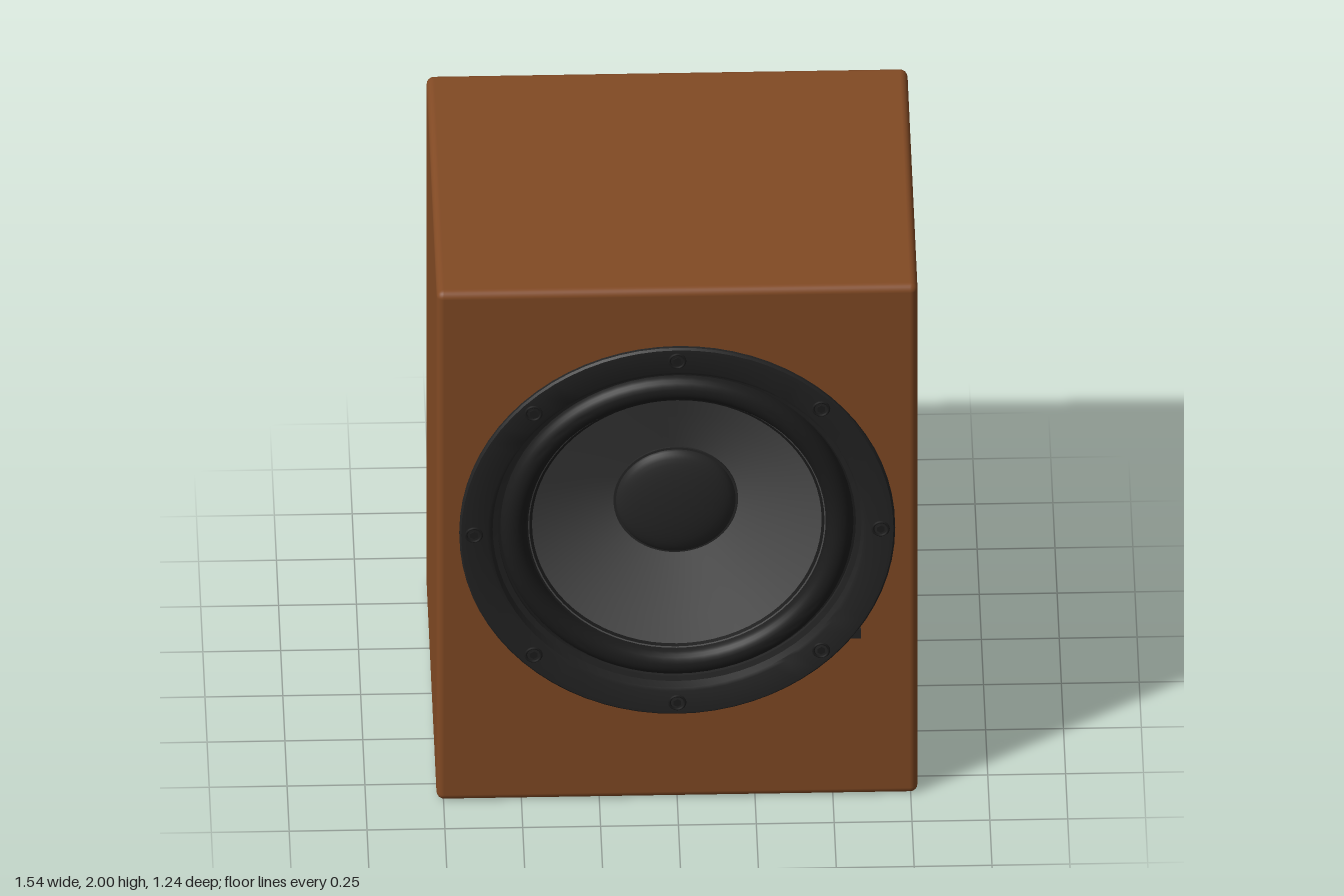
import * as THREE from 'three';
import { toCreasedNormals } from 'three/addons/utils/BufferGeometryUtils.js';
import { RoundedBoxGeometry } from 'three/addons/geometries/RoundedBoxGeometry.js';

const material = (name, color) => {
  const m = new THREE.MeshStandardMaterial({ color });
  m.name = name;
  return m;
};

export function createModel() {
  const wood = material('brown wood', 0x824a24);
  const black = material('black frame', 0x232323);
  const rubber = material('dark rubber', 0x1c1c1c);
  const grey = material('grey cone', 0x4e4e4e);
  const capBlack = material('dust cap black', 0x262626);

  const model = new THREE.Group();
  model.name = 'speaker';
  const add = (parent, name, geometry, mat) => {
    const mesh = new THREE.Mesh(geometry, mat);
    mesh.name = name;
    parent.add(mesh);
    return mesh;
  };

  // Cabinet: rounded box whose flat front is left out, so the driver can sit in it
  const W = 1.545, H = 2, D = 1.22, R = 0.025, FRONT = 0.6, CY = 1.06;
  const box = new RoundedBoxGeometry(W, H, D, 3, R);
  const pos = box.attributes.position, nor = box.attributes.normal;
  const keepPos = [], keepNor = [];
  for (let i = 0; i < pos.count; i += 3) {
    const flatFront = [0, 1, 2].every((k) => pos.getZ(i + k) > D / 2 - 1e-4);
    if (flatFront) continue;
    for (let k = i; k < i + 3; k++) {
      keepPos.push(pos.getX(k), pos.getY(k), pos.getZ(k));
      keepNor.push(nor.getX(k), nor.getY(k), nor.getZ(k));
    }
  }
  const shell = new THREE.BufferGeometry();
  shell.setAttribute('position', new THREE.Float32BufferAttribute(keepPos, 3));
  shell.setAttribute('normal', new THREE.Float32BufferAttribute(keepNor, 3));
  add(model, 'cabinet', shell, wood).position.set(0, H / 2, FRONT - D / 2);

  // Front baffle with the round cut-out
  const w = W / 2 - R;
  const baffle = new THREE.Shape([
    new THREE.Vector2(-w, R), new THREE.Vector2(w, R),
    new THREE.Vector2(w, H - R), new THREE.Vector2(-w, H - R),
  ]);
  baffle.holes.push(new THREE.Path().absarc(0, CY, 0.64, 0, Math.PI * 2, true));
  add(model, 'frontBaffle', new THREE.ShapeGeometry(baffle, 48), wood).position.z = FRONT;

  // Driver: turned parts, profiles run from the outside in as [radius, z]
  const driver = new THREE.Group();
  driver.name = 'driver';
  driver.position.set(0, CY, 0);
  driver.scale.y = 1.03;
  model.add(driver);
  const turned = (name, points, mat) => {
    const g = new THREE.LatheGeometry(points.map(([r, z]) => new THREE.Vector2(r, z)), 72);
    g.rotateX(Math.PI / 2);
    return add(driver, name, toCreasedNormals(g, 0.6), mat);
  };

  turned('flange', [
    [0.7, 0.595], [0.7, 0.61], [0.694, 0.616], [0.61, 0.616], [0.6, 0.61],
    [0.592, 0.585], [0.575, 0.58], [0.575, 0.55],
  ], black);

  // Half-round rubber surround
  const roll = [[0.585, 0.568]];
  for (let i = 0; i <= 12; i++) {
    const a = (Math.PI * i) / 12;
    roll.push([0.525 + Math.cos(a) * 0.042, 0.568 + Math.sin(a) * 0.04]);
  }
  roll.push([0.465, 0.56]);
  turned('surround', roll, rubber);

  turned('cone', [[0.478, 0.566], [0.39, 0.522], [0.29, 0.473], [0.185, 0.425]], grey);

  // Domed dust cap
  const dome = [[0.2, 0.425], [0.2, 0.438]];
  for (let i = 0; i <= 10; i++) {
    const a = (Math.PI / 2) * (i / 10);
    dome.push([0.192 * Math.cos(a), 0.438 + 0.05 * Math.sin(a)]);
  }
  turned('dustCap', dome, capBlack);

  // Eight screws, each a raised collar around a hex head
  for (let i = 0; i < 8; i++) {
    const a = (i * Math.PI) / 4;
    const screw = new THREE.Group();
    screw.name = 'screw';
    screw.position.set(Math.cos(a) * 0.653, Math.sin(a) * 0.653, 0.615);
    add(screw, 'screwCollar', new THREE.TorusGeometry(0.025, 0.005, 6, 20), rubber);
    const head = new THREE.CylinderGeometry(0.014, 0.014, 0.008, 6).toNonIndexed();
    head.rotateX(Math.PI / 2);
    add(screw, 'screwHead', toCreasedNormals(head, 0.5), rubber);
    driver.add(screw);
  }

  // Small lug on the lower edge of the flange
  add(model, 'flangeLug', new THREE.BoxGeometry(0.04, 0.035, 0.014), black)
    .position.set(0.57, 0.643, 0.605);

  return model;
}
